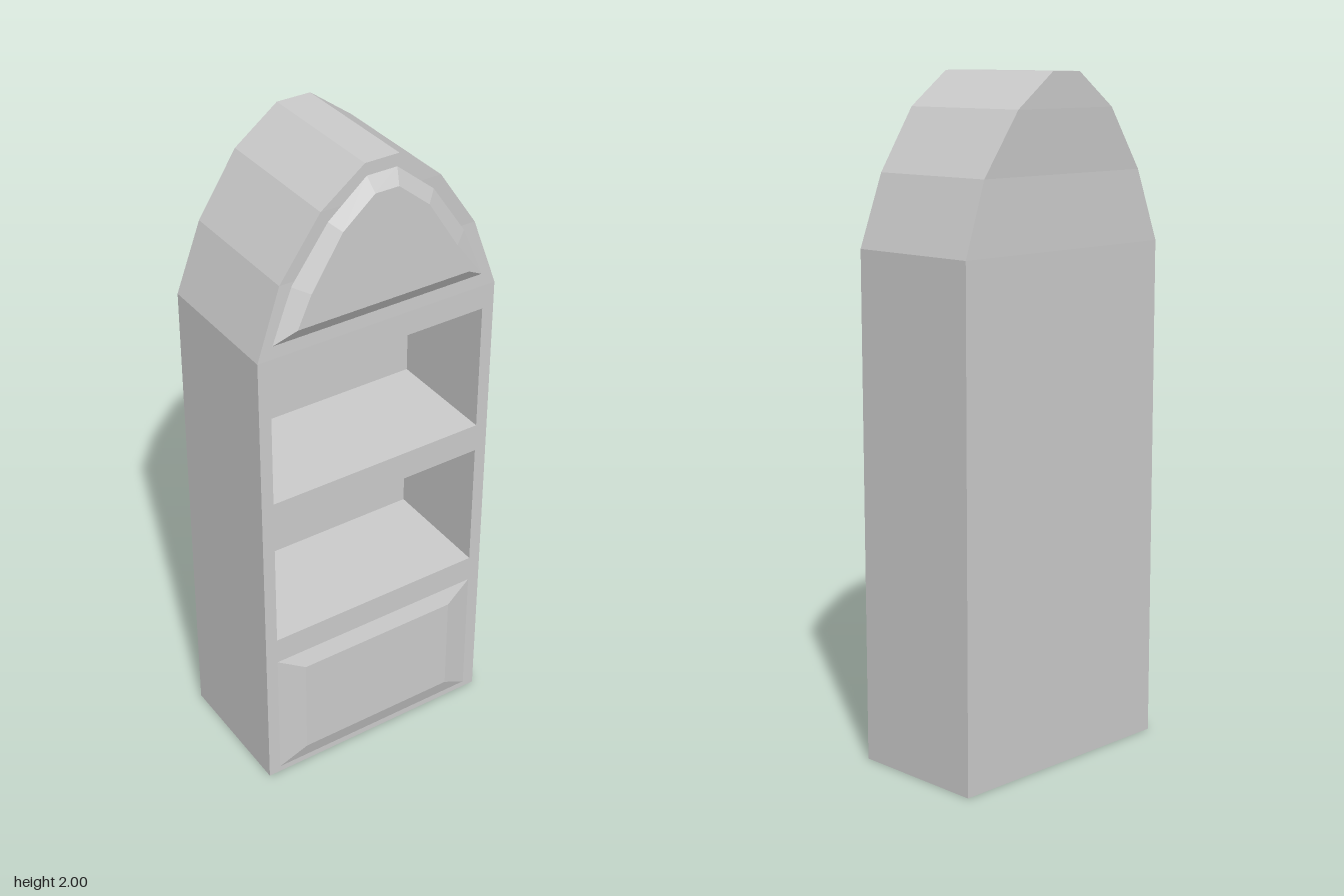
import * as THREE from 'three';

const BACK = -0.225, FRONT = 0.2, NICHE_BACK = -0.155;

// Half outline of the case: [half width, height, inward dip of front and back]
const OUTLINE = [[0.385, 0, 0], [0.385, 1.51, 0], [0.31, 1.72, 0.006], [0.187, 1.9, 0], [0.053, 2, 0]];
const NICHES = [[0.535, 0.945], [1.035, 1.435]];

const material = new THREE.MeshStandardMaterial({ color: 0xcccccc, flatShading: true });

// Mirrors a right-hand profile into a counter-clockwise ring at depth z
const ring = (half, z, dipSign = 0) => {
  const right = half.map(([x, y, dip = 0]) => [x, y, z + dip * dipSign]);
  return [...right, ...right.map(([x, y, d]) => [-x, y, d]).reverse()];
};

const toGeometry = (points) => {
  const g = new THREE.BufferGeometry();
  g.setAttribute('position', new THREE.Float32BufferAttribute(points.flat(), 3));
  g.computeVertexNormals();
  return g;
};

// Walls between two rings, optionally closed by a forward-facing cap on the second
function loft(a, b, cap) {
  const p = [];
  a.forEach((_, i) => {
    const j = (i + 1) % a.length;
    p.push(a[i], a[j], b[j], a[i], b[j], b[i]);
  });
  if (cap) for (let i = 1; i < b.length - 1; i++) p.push(b[0], b[i], b[i + 1]);
  return toGeometry(p);
}

// Horizontal bands filling an outline ring, facing forward or backward
function bands(r, from, backward) {
  const p = [], n = r.length;
  for (let i = from; i < n / 2 - 1; i++) {
    const [lr, ur, ul, ll] = [r[i], r[i + 1], r[n - 2 - i], r[n - 1 - i]];
    p.push(...(backward ? [lr, ll, ul, lr, ul, ur] : [ll, lr, ur, ll, ur, ul]));
  }
  return toGeometry(p);
}

const rect = (x, y0, y1) => [[x, y0], [x, y1]];
const toVectors = (half) => ring(half, 0).map(([x, y]) => new THREE.Vector2(x, y));

export function createModel() {
  const model = new THREE.Group();
  const add = (name, geometry) => {
    const mesh = new THREE.Mesh(geometry, material);
    mesh.name = name;
    model.add(mesh);
  };

  // Case: side walls, back and arched head
  const backRing = ring(OUTLINE, BACK, 1);
  const frontRing = ring(OUTLINE, FRONT, -1);
  add('caseWalls', loft(backRing, frontRing));
  add('caseBack', bands(backRing, 0, true));
  add('archedHead', bands(frontRing, 1, false));

  // Front frame with openings for the niches
  const frame = new THREE.Shape(toVectors(rect(0.385, 0, 1.51)));
  for (const [y0, y1] of NICHES) frame.holes.push(new THREE.Path(toVectors(rect(0.347, y0, y1)).reverse()));
  add('frontFrame', new THREE.ShapeGeometry(frame).translate(0, 0, FRONT));

  // Shelf niches: inner walls and back
  NICHES.forEach(([y0, y1], i) => {
    const half = rect(0.347, y0, y1);
    add(i ? 'upperNiche' : 'lowerNiche', loft(ring(half, FRONT), ring(half, NICHE_BACK), true));
  });

  // Raised bevelled panels
  add('lowerPanel', loft(ring(rect(0.347, 0.02, 0.45), FRONT), ring(rect(0.26, 0.075, 0.4), 0.217), true));
  const archOuter = [[0.338, 1.55, 0], [0.275, 1.705, 0.006], [0.165, 1.865, 0], [0.047, 1.963, 0]];
  const archInner = [[0.275, 1.59], [0.232, 1.685], [0.135, 1.838], [0.037, 1.92]];
  add('archedPanel', loft(ring(archOuter, FRONT, -1), ring(archInner, 0.225), true));

  return model;
}
